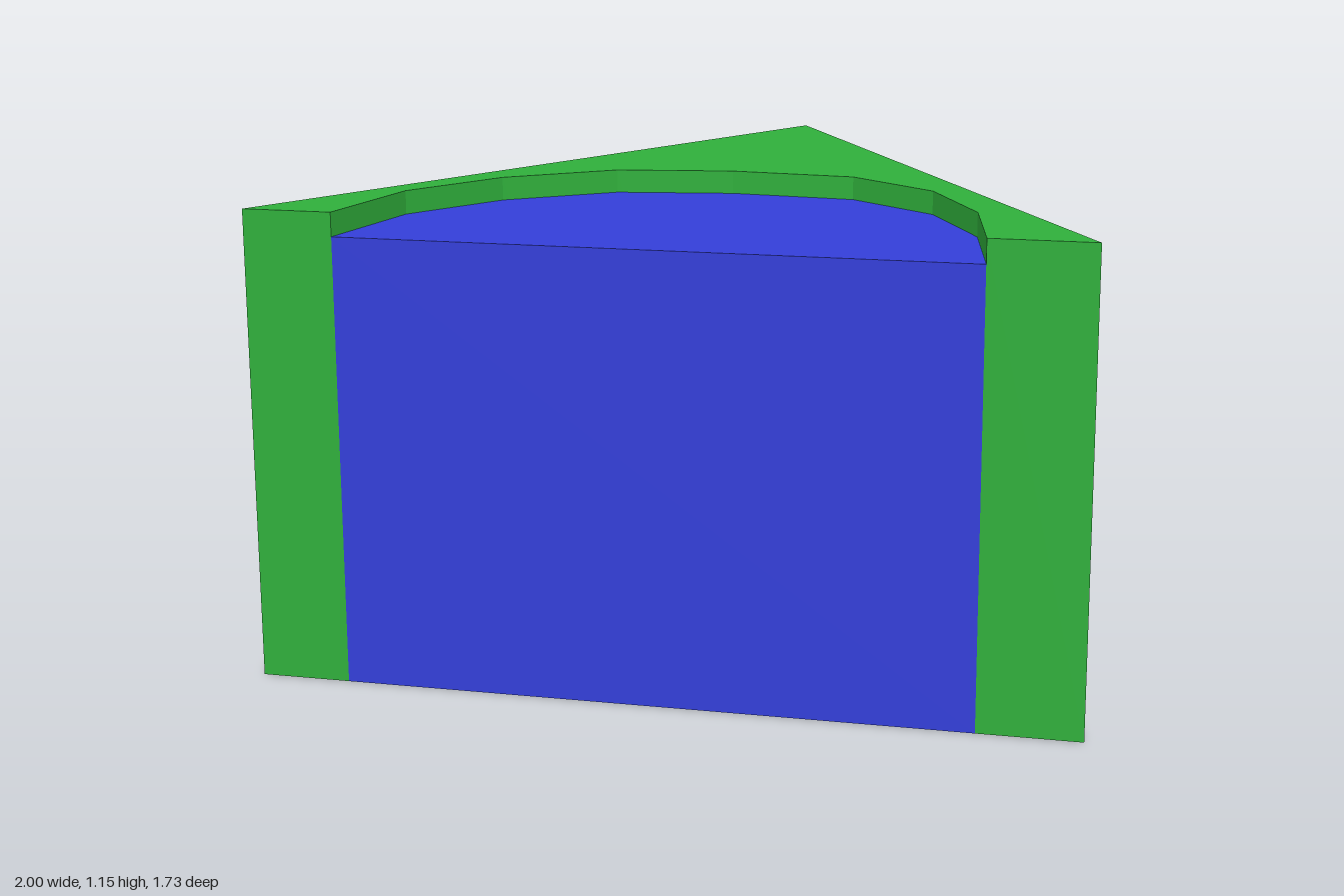
import * as THREE from 'three';

const HALF_DEPTH = 0.866;

// Upright prism from an [x, z] outline, standing on the ground
function prism(name, outline, height, color) {
  const shape = new THREE.Shape(outline.map(([x, z]) => new THREE.Vector2(x, -z)));
  const geometry = new THREE.ExtrudeGeometry(shape, { depth: height, bevelEnabled: false });
  geometry.rotateX(-Math.PI / 2);
  const mesh = new THREE.Mesh(geometry, new THREE.MeshStandardMaterial({ color, flatShading: true }));
  mesh.name = name;
  return mesh;
}

export function createModel() {
  const model = new THREE.Group();
  model.name = 'triangularBlock';

  // Faceted arch shared by the block's recess and its filling
  const arch = [
    [-0.78, HALF_DEPTH], [-0.72, 0.53], [-0.555, 0.275], [-0.305, 0.09], [-0.01, 0.043],
    [0.31, 0.072], [0.54, 0.25], [0.687, 0.535], [0.75, HALF_DEPTH],
  ];

  // Green triangular block, open at the front where the arch cuts in
  const triangle = [[1, HALF_DEPTH], [0, -HALF_DEPTH], [-1, HALF_DEPTH]];
  model.add(prism('block', [...triangle, ...arch], 1.155, 0x30b03c));

  // Blue filling, slightly lower than the block
  model.add(prism('filling', arch, 1.097, 0x343fda));

  return model;
}
